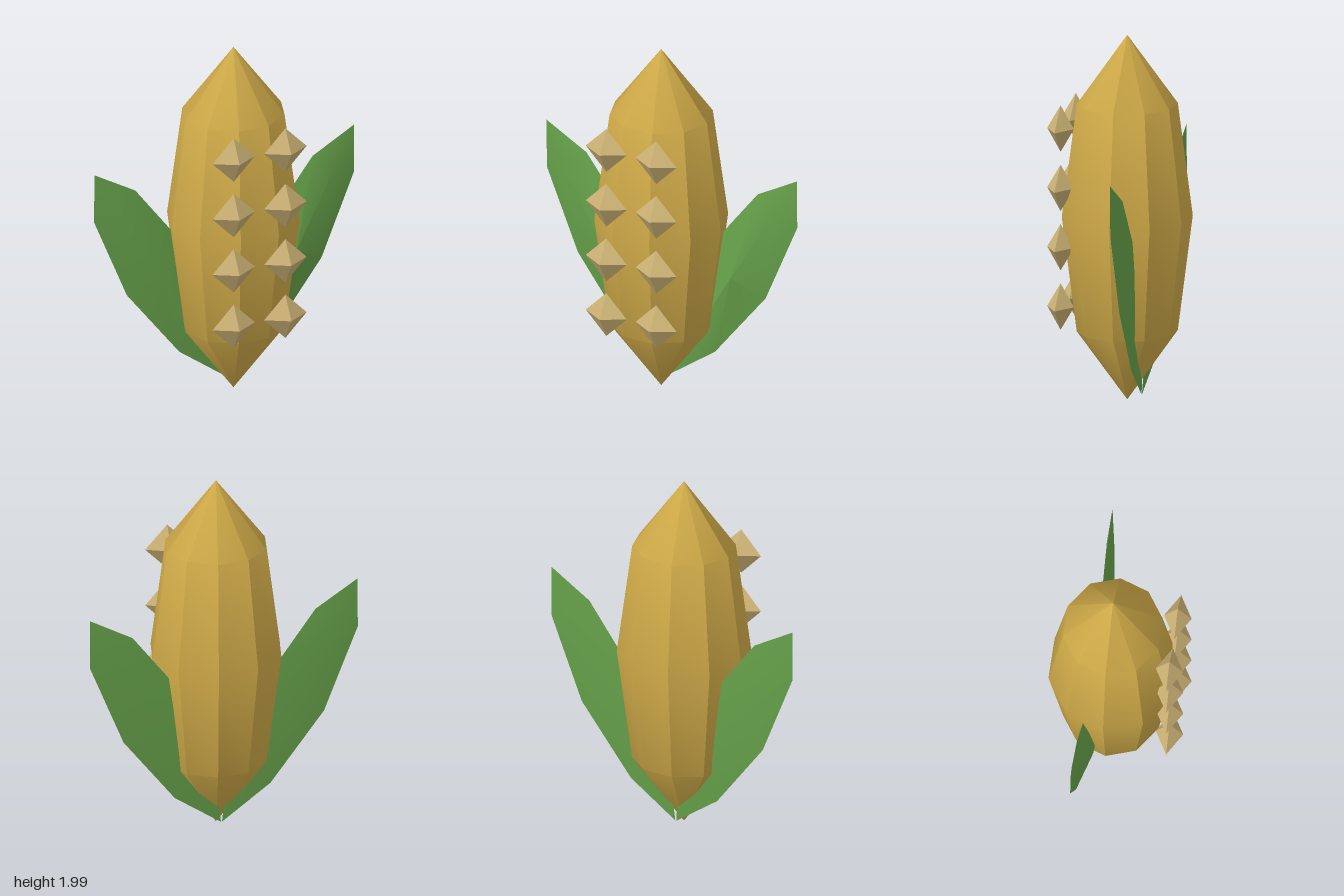
import * as THREE from 'three';
import { toCreasedNormals } from 'three/addons/utils/BufferGeometryUtils.js';

const CREASE = THREE.MathUtils.degToRad(30);

function material(name, color) {
  const m = new THREE.MeshStandardMaterial({ color });
  m.name = name;
  return m;
}

// Ten-sided pod, pointed at both ends and slightly flattened front to back
function podGeometry() {
  const profile = [[0, 0.01], [0.28, 0.385], [0.363, 1.01], [0.28, 1.625], [0, 2]];
  const geo = new THREE.LatheGeometry(
    profile.map(([r, y]) => new THREE.Vector2(r, y)), 10, Math.PI / 2);
  geo.scale(1, 1, 0.958);
  return toCreasedNormals(geo, CREASE);
}

// Leaf swept from base to tip in diamond sections; side is 1 or -1
function leafGeometry(side) {
  // distance along the leaf, half width, edge z, front bulge, back bulge
  const stations = [
    [0, 0, -0.115, 0, 0],
    [0.3, 0.138, -0.133, 0.035, 0.006],
    [0.78, 0.206, -0.15, 0.066, 0.012],
    [1.275, 0.14, -0.153, 0.03, 0.01],
    [1.514, 0, -0.15, 0, 0],
  ];
  const ux = 0.502, uy = 0.865;
  const positions = [];
  for (const [s, w, z, front, back] of stations) {
    // outer edge, front rib, inner edge, back rib
    for (const [p, dz] of [[w, 0], [0, front], [-w, 0], [0, -back]]) {
      positions.push(side * (0.003 + s * ux + p * uy), 0.04 + s * uy - p * ux, z + dz);
    }
  }
  const index = [];
  const tri = (a, b, c) => (side > 0 ? index.push(a, b, c) : index.push(a, c, b));
  for (let i = 0; i < stations.length - 1; i++) {
    for (let j = 0; j < 4; j++) {
      const a = i * 4 + j, b = i * 4 + (j + 1) % 4;
      if (i < stations.length - 2) tri(a, a + 4, b + 4);
      else tri(a, a + 4, b);
      if (i > 0 && i < stations.length - 2) tri(a, b + 4, b);
    }
  }
  const geo = new THREE.BufferGeometry();
  geo.setAttribute('position', new THREE.Float32BufferAttribute(positions, 3));
  geo.setIndex(index);
  return toCreasedNormals(geo, CREASE);
}

export function createModel() {
  const model = new THREE.Group();
  model.name = 'podPlant';
  const gold = material('gold', 0xcfaa48);
  const tan = material('paleTan', 0xcbb174);
  const green = material('leafGreen', 0x65a049);

  const add = (name, geo, mat) => {
    const mesh = new THREE.Mesh(geo, mat);
    mesh.name = name;
    model.add(mesh);
    return mesh;
  };

  add('pod', podGeometry(), gold).position.z = -0.035;

  // Two columns of faceted kernels on the front
  const kernel = new THREE.OctahedronGeometry(1);
  kernel.scale(0.125, 0.127, 0.074);
  for (const x of [-0.152, 0.152]) {
    for (let row = 0; row < 4; row++) {
      add('kernel', kernel, tan).position.set(x, 0.53 + row * 0.324, 0.291);
    }
  }

  // A leaf on each side
  add('leftLeaf', leafGeometry(1), green);
  add('rightLeaf', leafGeometry(-1), green);

  return model;
}
